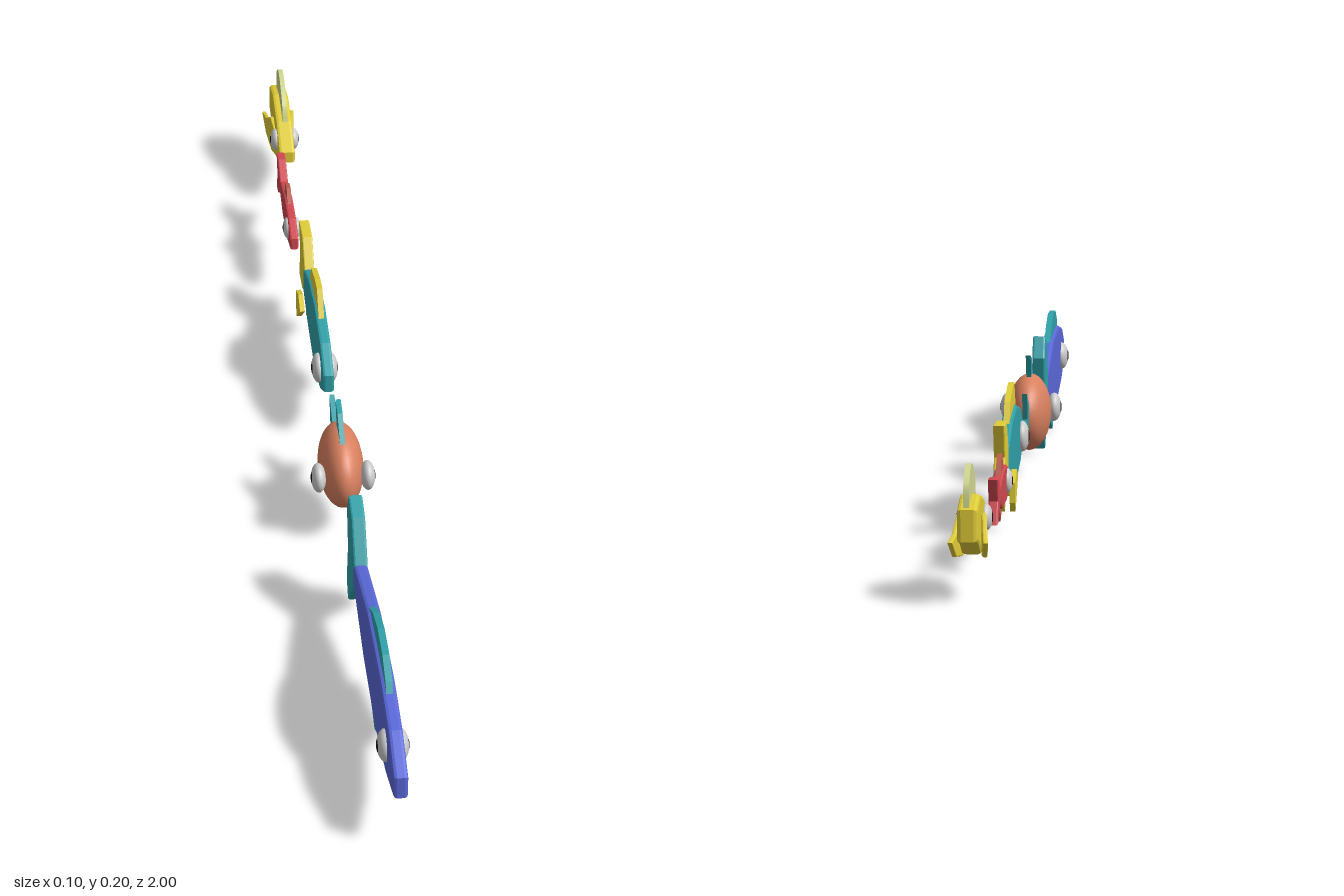
import * as THREE from 'three';

const mat = (color) => new THREE.MeshStandardMaterial({ color, side: THREE.DoubleSide });
const BLUE = mat(0x5a68d8), TEAL = mat(0x30a0a8), ORANGE = mat(0xd8805f), YELLOW = mat(0xe0cc38);
const RED = mat(0xd04850), RUST = mat(0xbf5a4c), PALE = mat(0xd0d890), WHITE = mat(0xe6e6e6), BLACK = mat(0x181818);

// Flat part cut from a side outline of [z, y] points, centred on x, with chamfered edges
function plate(name, material, points, x, width, bevel = 0, smooth = false) {
  const pts = points.map(([z, y]) => new THREE.Vector2(z, y));
  const shape = smooth ? new THREE.Shape().moveTo(pts[0].x, pts[0].y).splineThru(pts.slice(1)) : new THREE.Shape(pts);
  const geo = new THREE.ExtrudeGeometry(shape, {
    depth: width - 2 * bevel, steps: 1, curveSegments: 20, bevelEnabled: bevel > 0,
    bevelThickness: bevel, bevelSize: bevel, bevelOffset: -bevel, bevelSegments: 2,
  });
  geo.translate(0, 0, -(width - 2 * bevel) / 2);
  geo.rotateY(-Math.PI / 2);
  const mesh = new THREE.Mesh(geo, material);
  mesh.position.x = x;
  mesh.name = name;
  return mesh;
}

function ellipsoid(name, material, pos, size) {
  const mesh = new THREE.Mesh(new THREE.SphereGeometry(1, 32, 20), material);
  mesh.position.set(...pos);
  mesh.scale.set(...size);
  mesh.name = name;
  return mesh;
}

// Mirrored pair of flattened eyes with dark pupils
function eyes(x, y, z, r, offset, depth) {
  const group = new THREE.Group();
  group.name = 'eyes';
  for (const s of [-1, 1]) {
    group.add(ellipsoid('eyeball', WHITE, [x + s * offset, y, z], [depth, r, r]));
    group.add(ellipsoid('pupil', BLACK, [x + s * (offset + depth * 0.55), y, z], [depth * 0.5, r * 0.58, r * 0.58]));
  }
  return group;
}

function fish(name, ...parts) {
  const group = new THREE.Group();
  group.name = name;
  group.add(...parts);
  return group;
}

export function createModel() {
  const model = new THREE.Group();
  model.name = 'fishRow';

  // Long blue fish
  model.add(fish('blueFish',
    plate('body', BLUE, [[1, 0.125], [0.93, 0.155], [0.83, 0.17], [0.66, 0.165], [0.48, 0.125], [0.48, 0.09],
      [0.62, 0.055], [0.78, 0.042], [0.91, 0.062], [1, 0.09]], -0.002, 0.021, 0.005),
    plate('tail', TEAL, [[0.49, 0.125], [0.45, 0.187], [0.41, 0.2], [0.39, 0.165], [0.405, 0.107], [0.39, 0.037],
      [0.41, 0.01], [0.45, 0.05], [0.49, 0.09]], -0.002, 0.021, 0.003),
    plate('dorsalFin', TEAL, [[0.87, 0.15], [0.85, 0.18], [0.81, 0.198], [0.75, 0.2], [0.69, 0.185], [0.63, 0.155]], -0.002, 0.01),
    plate('bellyFin', TEAL, [[0.79, 0.05], [0.76, 0.02], [0.72, 0], [0.69, 0.012], [0.62, 0.03], [0.65, 0.055]], -0.002, 0.01),
    eyes(-0.002, 0.107, 0.9, 0.024, 0.01, 0.013)));

  // Round orange fish
  model.add(fish('orangeFish',
    ellipsoid('body', ORANGE, [0, 0.104, 0.182], [0.035, 0.062, 0.078]),
    plate('tail', TEAL, [[0.125, 0.115], [0.053, 0.15], [0.068, 0.107], [0.053, 0.064], [0.125, 0.097]], 0, 0.008),
    plate('dorsalFin', TEAL, [[0.225, 0.15], [0.175, 0.193], [0.145, 0.2], [0.165, 0.155]], 0, 0.008),
    eyes(0, 0.107, 0.22, 0.023, 0.038, 0.0115)));

  // Teal fish with yellow fins
  model.add(fish('tealFish',
    plate('body', TEAL, [[-0.045, 0.122], [-0.1, 0.15], [-0.19, 0.166], [-0.29, 0.155], [-0.37, 0.126], [-0.37, 0.087],
      [-0.29, 0.064], [-0.19, 0.05], [-0.1, 0.064], [-0.045, 0.092]], 0.005, 0.018, 0.004),
    plate('tail', YELLOW, [[-0.36, 0.12], [-0.4, 0.17], [-0.455, 0.17], [-0.437, 0.12], [-0.455, 0.07], [-0.4, 0.07],
      [-0.36, 0.09]], 0.006, 0.017, 0.002),
    plate('dorsalFin', YELLOW, [[-0.15, 0.15], [-0.185, 0.2], [-0.22, 0.197], [-0.28, 0.182], [-0.305, 0.145]], 0.005, 0.009),
    plate('bellyFin', YELLOW, [[-0.14, 0.065], [-0.2, 0.025], [-0.235, 0.032], [-0.245, 0.065]], 0.005, 0.009),
    ...[-0.01, 0.006].map((x) => plate('rearFin', YELLOW,
      [[-0.32, 0.075], [-0.38, 0.03], [-0.392, 0.045], [-0.39, 0.075], [-0.35, 0.09]], x, 0.008)),
    eyes(0.004, 0.104, -0.1, 0.024, 0.01, 0.011)));

  // Small red fish
  model.add(fish('redFish',
    plate('body', RED, [[-0.5, 0.108], [-0.54, 0.125], [-0.61, 0.128], [-0.69, 0.113], [-0.69, 0.092], [-0.64, 0.076],
      [-0.555, 0.074], [-0.5, 0.088]], -0.006, 0.014, 0.003),
    plate('tail', RED, [[-0.685, 0.113], [-0.725, 0.135], [-0.75, 0.135], [-0.735, 0.102], [-0.75, 0.07], [-0.725, 0.07],
      [-0.685, 0.092]], -0.006, 0.014, 0.002),
    plate('dorsalFin', RUST, [[-0.58, 0.12], [-0.6, 0.15], [-0.625, 0.145], [-0.638, 0.12]], -0.006, 0.007),
    plate('bellyFin', RUST, [[-0.595, 0.08], [-0.64, 0.058], [-0.655, 0.083]], -0.006, 0.007),
    eyes(-0.006, 0.103, -0.547, 0.018, 0.007, 0.008)));

  // Yellow fish with a pale crest and side fins that splay outward to the rear
  const sideFins = [-1, 1].map((s) => {
    const fin = plate('sideFin', YELLOW, [[0.02, 0.1], [0.02, 0.07], [-0.04, 0.053], [-0.09, 0.06], [-0.125, 0.085],
      [-0.09, 0.092], [-0.05, 0.115]], 0.011 + s * 0.012, 0.007, 0.002);
    fin.position.z = -0.865;
    fin.rotation.y = -s * 0.1;
    return fin;
  });
  model.add(fish('yellowFish',
    plate('body', YELLOW, [[-0.81, 0.1], [-0.87, 0.13], [-0.94, 0.145], [-1, 0.132], [-1, 0.088], [-0.96, 0.078],
      [-0.92, 0.058], [-0.87, 0.066], [-0.81, 0.08]], 0.011, 0.028, 0.005),
    plate('crest', PALE, [[-0.865, 0.13], [-0.88, 0.16], [-0.92, 0.182], [-0.955, 0.185], [-0.985, 0.165], [-0.992, 0.13]],
      0.013, 0.008, 0, true),
    ...sideFins,
    eyes(0.011, 0.1, -0.86, 0.019, 0.015, 0.01)));

  return model;
}
